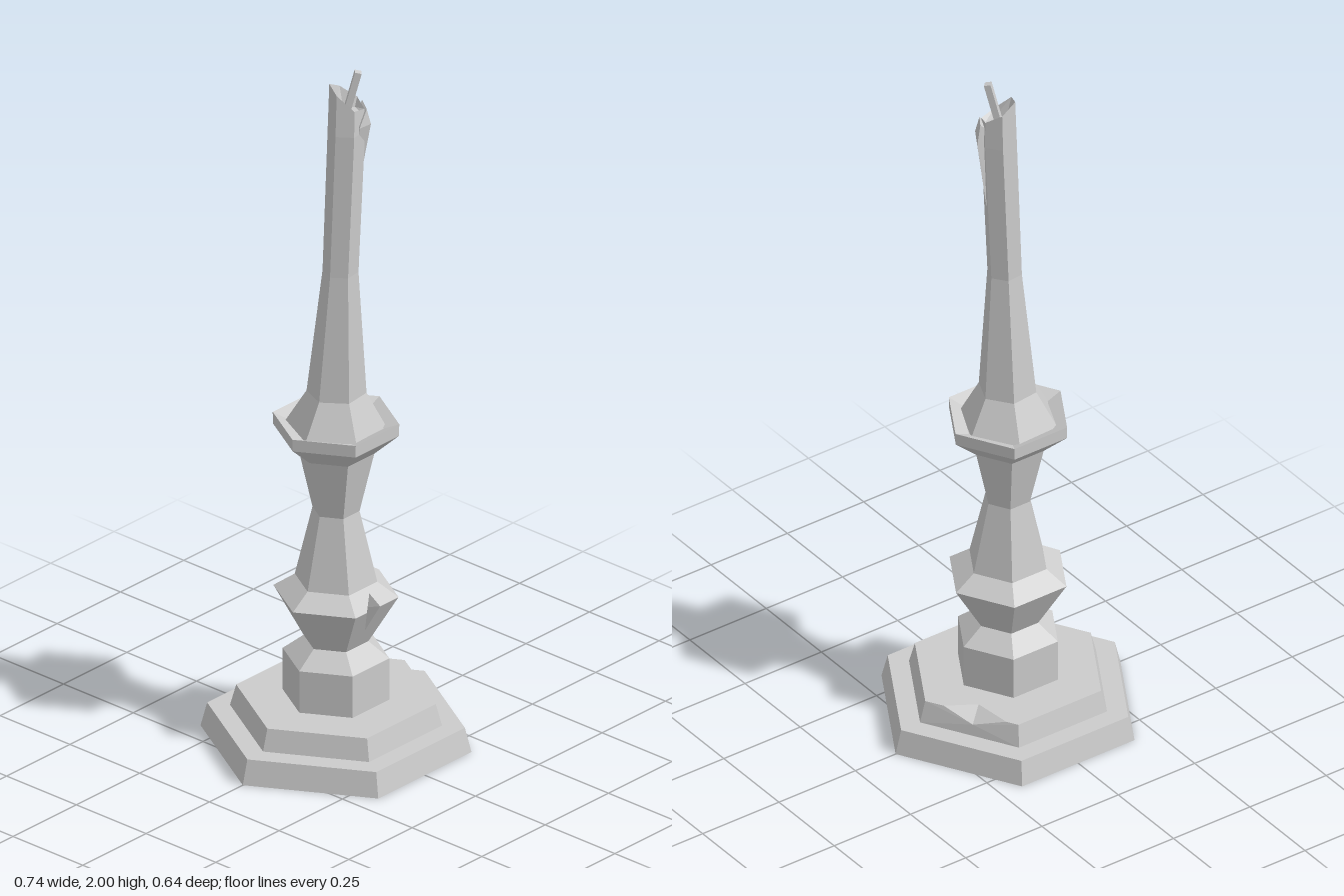
import * as THREE from 'three';
import { ConvexGeometry } from 'three/addons/geometries/ConvexGeometry.js';

const material = new THREE.MeshStandardMaterial({ color: 0xcccccc, flatShading: true });
const V = (x, y, z) => new THREE.Vector3(x, y, z);

// Hexagonal cross-section; corners run from +x towards +z.
function hex(r, y, cx = 0, cz = 0, turn = 0) {
  return Array.from({ length: 6 }, (_, k) => {
    const a = (k * Math.PI) / 3 + turn;
    return V(cx + r * Math.cos(a), y, cz + r * Math.sin(a));
  });
}

// Faces joining stacked rings; skip(level, side) leaves a panel out.
function loft(rings, { bottom = true, top = true, skip = () => false } = {}) {
  const faces = [];
  for (let i = 0; i < rings.length - 1; i++) {
    const lo = rings[i], hi = rings[i + 1];
    for (let k = 0; k < 6; k++) {
      const n = (k + 1) % 6;
      if (!skip(i, k)) faces.push([lo[n], lo[k], hi[k], hi[n]]);
    }
  }
  if (bottom) faces.push(rings[0]);
  if (top) faces.push([...rings[rings.length - 1]].reverse());
  return faces;
}

// Flat-shaded mesh from polygons, each fanned from its first corner.
function solid(name, faces) {
  const pos = [];
  for (const f of faces)
    for (let i = 1; i < f.length - 1; i++)
      for (const p of [f[0], f[i], f[i + 1]]) pos.push(p.x, p.y, p.z);
  const g = new THREE.BufferGeometry();
  g.setAttribute('position', new THREE.Float32BufferAttribute(pos, 3));
  g.computeVertexNormals();
  return part(name, g);
}

function part(name, geometry) {
  const mesh = new THREE.Mesh(geometry, material);
  mesh.name = name;
  return mesh;
}

// Upper base step with a chip knocked out of its back edge on the +x side.
function chippedStep() {
  const b = hex(0.288, 0.07), t = hex(0.271, 0.132);
  const A = t[0].clone().lerp(t[5], 0.87);
  const B = t[0].clone().lerp(t[5], 0.2);
  const D = V(0.208, 0.102, -0.128);
  const I = V(0.165, 0.132, -0.095);
  const faces = loft([b, t], { top: false, skip: (i, k) => k === 5 });
  faces.push(
    [I, A, t[5], t[4], t[3], t[2], t[1], t[0], B],
    [D, B, t[0], b[0], b[5], t[5], A],
    [B, D, I], [D, A, I]
  );
  return solid('upperStep', faces);
}

// Stem with knop and waist, rising into the dished drip pan.
function stem() {
  const profile = [
    [0.145, 0.13], [0.145, 0.255], [0.088, 0.3], [0.17, 0.44], [0.112, 0.48],
    [0.064, 0.685], [0.104, 0.86], [0.171, 0.92], [0.172, 0.955], [0.13, 0.938],
  ];
  const rings = profile.map(([r, y]) => hex(r, y));
  const faces = loft(rings, { skip: (i, k) => k === 1 && (i === 2 || i === 3) });
  // Nick in the front of the knop
  const [lo, mid, hi] = [rings[2], rings[3], rings[4]];
  const z = mid[1].z;
  const L = V(-0.04, 0.44, z), R = V(0.012, 0.44, z);
  const U = V(0.008, 0.468, THREE.MathUtils.lerp(z, hi[1].z, 0.7));
  const D = V(-0.003, 0.36, THREE.MathUtils.lerp(lo[1].z, z, 0.06 / 0.14));
  const I = V(0, 0.43, 0.112);
  faces.push(
    [D, L, mid[2], lo[2], lo[1], mid[1], R],
    [U, R, mid[1], hi[1], hi[2], mid[2], L],
    [L, D, I], [D, R, I], [R, U, I], [U, L, I]
  );
  return solid('stemAndDripPan', faces);
}

// Leaning candle, flared at its foot, with a hollow slanted tip.
function candle() {
  const turn = -0.12;
  const rim = hex(0.047, 0, 0.01, 0.03, turn);
  [1.9, 1.885, 1.895, 1.94, 1.955, 1.93].forEach((y, k) => (rim[k].y = y));
  const rings = [
    hex(0.135, 0.938, 0, -0.003, turn),
    hex(0.08, 1.035, 0, 0.002, turn),
    hex(0.048, 1.4, -0.002, 0.018, turn),
    hex(0.05, 1.82, 0.008, 0.03, turn),
    rim,
    hex(0.032, 1.875, 0.012, 0.032, turn),
  ];
  return solid('candle', loft(rings));
}

export function createModel() {
  const group = new THREE.Group();
  group.name = 'candlestick';

  group.add(solid('lowerStep', loft([hex(0.368, 0), hex(0.35, 0.07)])));
  group.add(chippedStep(), stem(), candle());

  // Run of wax down the front corner
  group.add(part('waxDrip', new ConvexGeometry([
    V(0.045, 1.62, 0.036), V(0.03, 1.64, 0.035),
    V(0.076, 1.83, 0.034), V(0.05, 1.84, 0.08), V(0.008, 1.84, 0.077),
    V(0.066, 1.89, 0.034), V(0.04, 1.885, 0.074), V(0.045, 1.87, 0.035),
  ])));

  // Square wick tilted towards the front
  const from = V(0.004, 1.865, 0.03), to = V(0.026, 1.996, 0.056);
  const dir = to.clone().sub(from);
  const wick = part('wick', new THREE.CylinderGeometry(0.013, 0.013, dir.length(), 4));
  wick.position.copy(from).add(to).multiplyScalar(0.5);
  wick.quaternion.setFromUnitVectors(V(0, 1, 0), dir.normalize());
  group.add(wick);

  return group;
}
